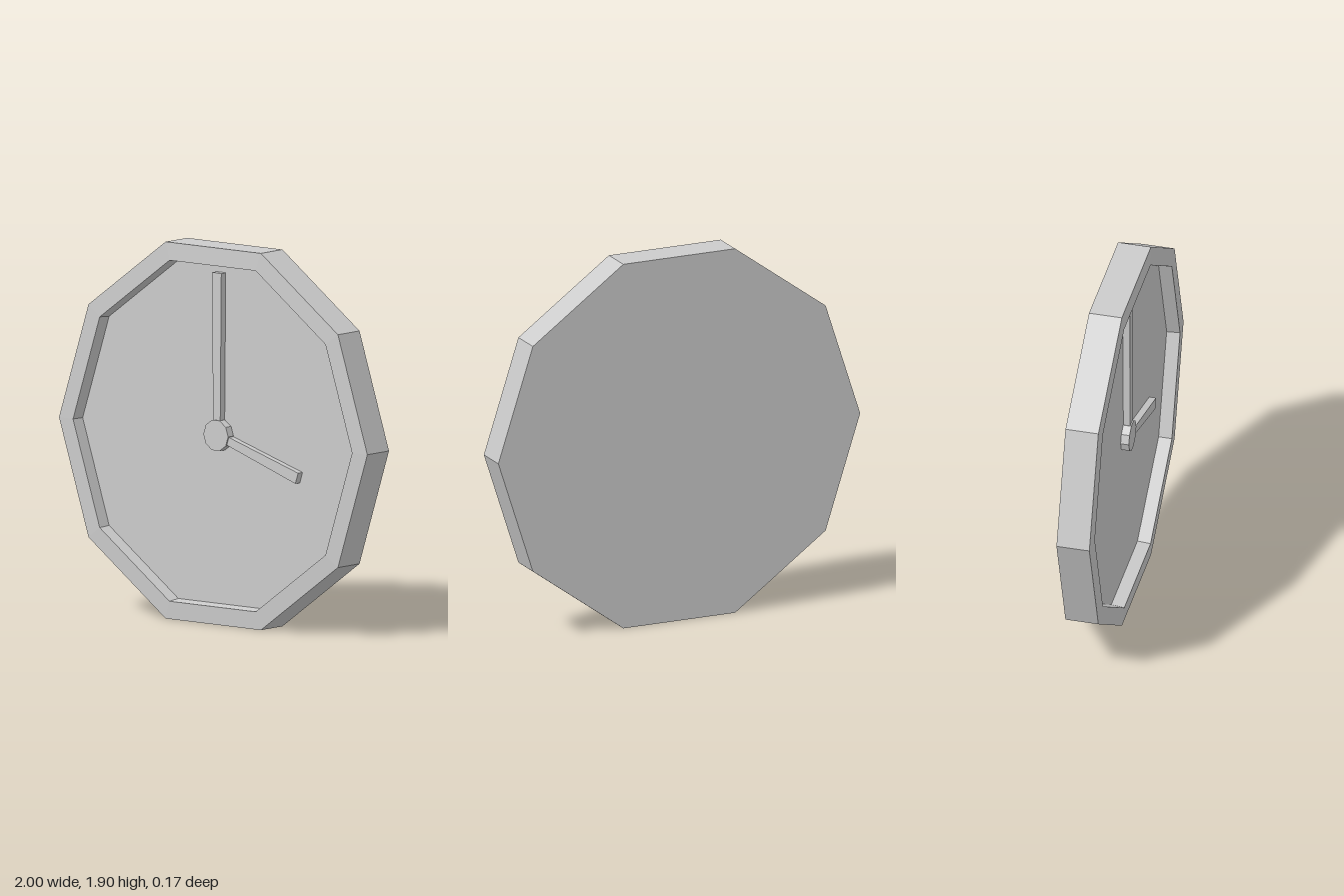
import * as THREE from 'three';

const CENTRE_Y = 0.951; // half the height of a decagon of radius 1
const FLOOR_Z = 0.02; // dial surface

export function createModel() {
  const clock = new THREE.Group();
  clock.name = 'wallClock';
  const material = new THREE.MeshStandardMaterial({ color: 0xcccccc, flatShading: true });

  const add = (name, geometry) => {
    const mesh = new THREE.Mesh(geometry, material);
    mesh.name = name;
    mesh.position.y = CENTRE_Y;
    clock.add(mesh);
    return mesh;
  };

  // Ten-sided solid around the z axis, from a profile of [radius, z]
  const decagon = (profile) =>
    new THREE.LatheGeometry(profile.map(([r, z]) => new THREE.Vector2(r, z)), 10, Math.PI / 2)
      .rotateX(Math.PI / 2);

  // Case: back, side and raised rim
  add('caseAndRim', decagon([
    [0, -0.087], [1, -0.087], [1, 0.082], [0.905, 0.087], [0.898, FLOOR_Z],
  ]));

  // Recessed dial
  add('dial', decagon([[0.898, FLOOR_Z], [0, FLOOR_Z]]));

  // Hub where the hands meet
  add('hub', decagon([[0.08, FLOOR_Z], [0.08, 0.062], [0, 0.062]]));

  // Hands widen slightly toward the tip
  const hand = (name, length, baseHalf, tipHalf, angle) => {
    const shape = new THREE.Shape([
      new THREE.Vector2(-baseHalf, 0.06),
      new THREE.Vector2(baseHalf, 0.06),
      new THREE.Vector2(tipHalf, length),
      new THREE.Vector2(-tipHalf, length),
    ]);
    const geometry = new THREE.ExtrudeGeometry(shape, { depth: 0.035, bevelEnabled: false });
    const mesh = add(name, geometry);
    mesh.position.z = FLOOR_Z;
    mesh.rotation.z = angle;
  };
  hand('minuteHand', 0.82, 0.023, 0.03, 0);
  hand('hourHand', 0.546, 0.021, 0.029, -Math.PI * 0.6);

  return clock;
}
